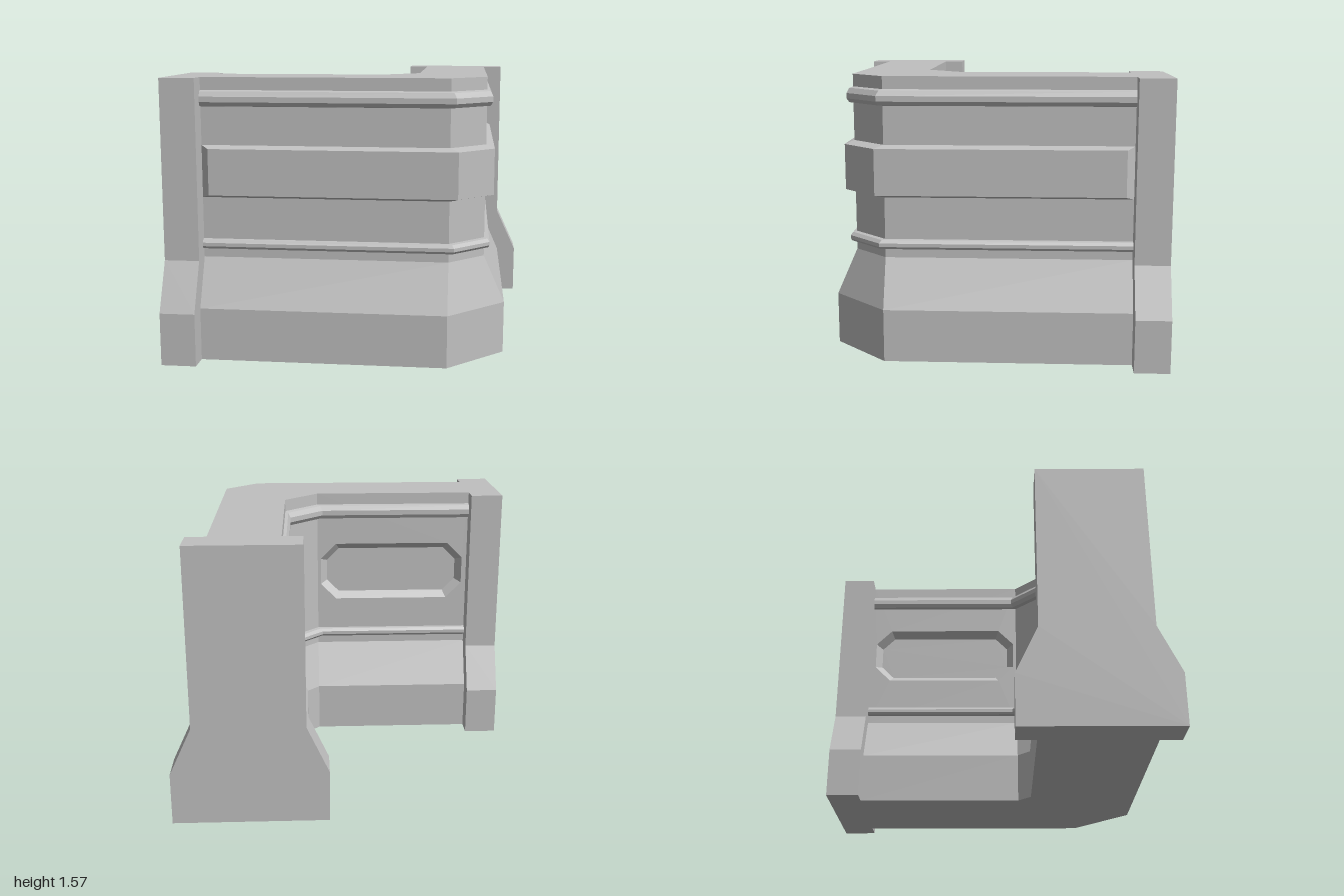
import * as THREE from 'three';

const END = -0.805;   // where the arms meet the posts
const TOP = 1.57;
const OUT = 0.76, IN = 0.37;          // upper wall planes
const OUT_C = 0.565, IN_C = 0.17;     // where the corner chamfers start

function fromQuads(quads) {
  const pos = [];
  for (const [a, b, c, d] of quads) pos.push(...a, ...b, ...c, ...a, ...c, ...d);
  const geo = new THREE.BufferGeometry();
  geo.setAttribute('position', new THREE.Float32BufferAttribute(pos, 3));
  geo.computeVertexNormals();
  return geo;
}

// swap x and z to turn one arm into the other, keeping faces outward
const swap = ([x, y, z]) => [z, y, x];
const swapQuad = (q) => q.map(swap).reverse();
function mirrored(source) {
  const geo = source.index ? source.toNonIndexed() : source.clone();
  const p = geo.attributes.position, pos = [];
  for (let i = 0; i < p.count; i += 3)
    for (const k of [i + 2, i + 1, i]) pos.push(p.getZ(k), p.getY(k), p.getX(k));
  const out = new THREE.BufferGeometry();
  out.setAttribute('position', new THREE.Float32BufferAttribute(pos, 3));
  out.computeVertexNormals();
  return out;
}

// sweep a profile of [distance, y, chamfer start, arm end] around the corner
function sweep(profile) {
  const path = ([d, y, c, e = END]) => [[e, y, d], [c, y, d], [d, y, c], [d, y, e]];
  const quads = [];
  for (let i = 0; i + 1 < profile.length; i++) {
    const lo = path(profile[i]), hi = path(profile[i + 1]);
    for (let k = 0; k < 3; k++) quads.push([lo[k], lo[k + 1], hi[k + 1], hi[k]]);
  }
  return quads;
}

// profile given as [projection, y]; outer sides project outward, inner sides inward
const outer = (pts) => pts.map(([p, y, e]) => [OUT + p, y, OUT_C + p, e]);
const inner = (pts) => pts.map(([p, y, e]) => [IN - p, y, IN_C - p, e]).reverse();

function polygon(points) {
  return points.map(([x, y]) => new THREE.Vector2(x, y));
}

// octagon with cut corners, shrunk by an inset
function octagon(inset) {
  const x0 = -0.775 + inset, x1 = 0.15 - inset, y0 = 0.87 + inset, y1 = 1.24 - inset;
  const c = 0.1 - inset * 0.55;
  return [[x0 + c, y0], [x1 - c, y0], [x1, y0 + c], [x1, y1 - c],
    [x1 - c, y1], [x0 + c, y1], [x0, y1 - c], [x0, y0 + c]];
}

export function createModel() {
  const group = new THREE.Group();
  group.name = 'cornerWall';
  const stone = new THREE.MeshStandardMaterial({ color: 0xc0c0c0 });
  stone.name = 'grey stone';
  const add = (name, geo) => {
    const mesh = new THREE.Mesh(geo, stone);
    mesh.name = name;
    group.add(mesh);
  };
  const addPair = (name, geo) => {
    add(name + 'Left', geo);
    add(name + 'Right', mirrored(geo));
  };

  // outer wall with flared base
  add('outerWall', fromQuads(sweep([
    [0.88, 0, OUT_C], [0.88, 0.295, OUT_C], [OUT, 0.565, OUT_C], [OUT, TOP, OUT_C]])));

  // inner flared base and the chamfered inner corner above it
  add('innerBase', fromQuads(sweep([
    [IN, 0.565, IN_C], [0.245, 0.295, IN_C], [0.245, 0, IN_C]])));
  add('innerCorner', fromQuads([
    [[IN_C, TOP, IN], [IN, TOP, IN_C], [IN, 0.565, IN_C], [IN_C, 0.565, IN]]]));

  // inner wall faces, pierced by the recesses
  const rim = octagon(0), floor = octagon(0.04), depth = IN + 0.045;
  const face = new THREE.Shape(polygon([[END, 0.565], [IN_C, 0.565], [IN_C, TOP], [END, TOP]]));
  face.holes.push(new THREE.Path(polygon(rim)));
  const flip = (shape, z) => {
    // turn the flat shape to face -z without moving its outline
    const geo = new THREE.ShapeGeometry(shape);
    geo.translate(0, 0, z);
    const idx = geo.index.array;
    for (let i = 0; i < idx.length; i += 3) [idx[i], idx[i + 2]] = [idx[i + 2], idx[i]];
    const flat = geo.toNonIndexed();
    flat.computeVertexNormals();
    return flat;
  };
  addPair('innerFace', flip(face, IN));
  addPair('recessFloor', flip(new THREE.Shape(polygon(floor)), depth));
  addPair('recessBevel', fromQuads(rim.map((p, i) => {
    const j = (i + 1) % rim.length;
    return [[...floor[i], depth], [...floor[j], depth], [...rim[j], IN], [...p, IN]];
  })));

  // top and underside
  const slab = (o, oc, n, nc) => new THREE.ShapeGeometry(new THREE.Shape(polygon([
    [END, -o], [oc, -o], [o, -oc], [o, -END], [n, -END], [n, -nc], [nc, -n], [END, -n]])));
  add('wallTop', slab(OUT, OUT_C, IN, IN_C).rotateX(-Math.PI / 2).translate(0, TOP, 0));
  const under = new THREE.ShapeGeometry(new THREE.Shape(polygon([
    [END, 0.88], [OUT_C, 0.88], [0.88, OUT_C], [0.88, END],
    [0.245, END], [0.245, IN_C], [IN_C, 0.245], [END, 0.245]])));
  add('wallUnderside', under.rotateX(Math.PI / 2));

  // rounded rails on both sides
  const rails = {
    lowerRail: [[0, 0.615], [0.022, 0.617], [0.03, 0.63], [0.03, 0.65], [0.018, 0.667], [0, 0.67]],
    upperRail: [[0, 1.41], [0.02, 1.413], [0.032, 1.435], [0.032, 1.465], [0.018, 1.493], [0, 1.5]],
  };
  for (const [name, pts] of Object.entries(rails)) {
    add(name + 'Outer', fromQuads(sweep(outer(pts))));
    add(name + 'Inner', fromQuads(sweep(inner(pts))));
  }

  // raised band on the outside with bevelled ends
  const band = outer([[0, 0.905], [0.047, 0.922, -0.76], [0.047, 1.18, -0.76], [0, 1.197]]);
  const bandEnd = band.map(([d, y, , e = END]) => [e, y, d]);
  add('raisedBand', fromQuads([...sweep(band), bandEnd, swapQuad(bandEnd)]));

  // end posts with flared feet
  const half = [[0.435, 0], [0.435, 0.295], [0.31, 0.565], [0.31, TOP]];
  const mid = 0.565;
  const outline = [...half.map(([w, y]) => [mid + w, y]),
    ...half.map(([w, y]) => [mid - w, y]).reverse()];
  const post = new THREE.ExtrudeGeometry(new THREE.Shape(polygon(outline)),
    { depth: 1 + END, bevelEnabled: false }).translate(0, 0, -1);
  addPair('endPost', post);

  return group;
}
